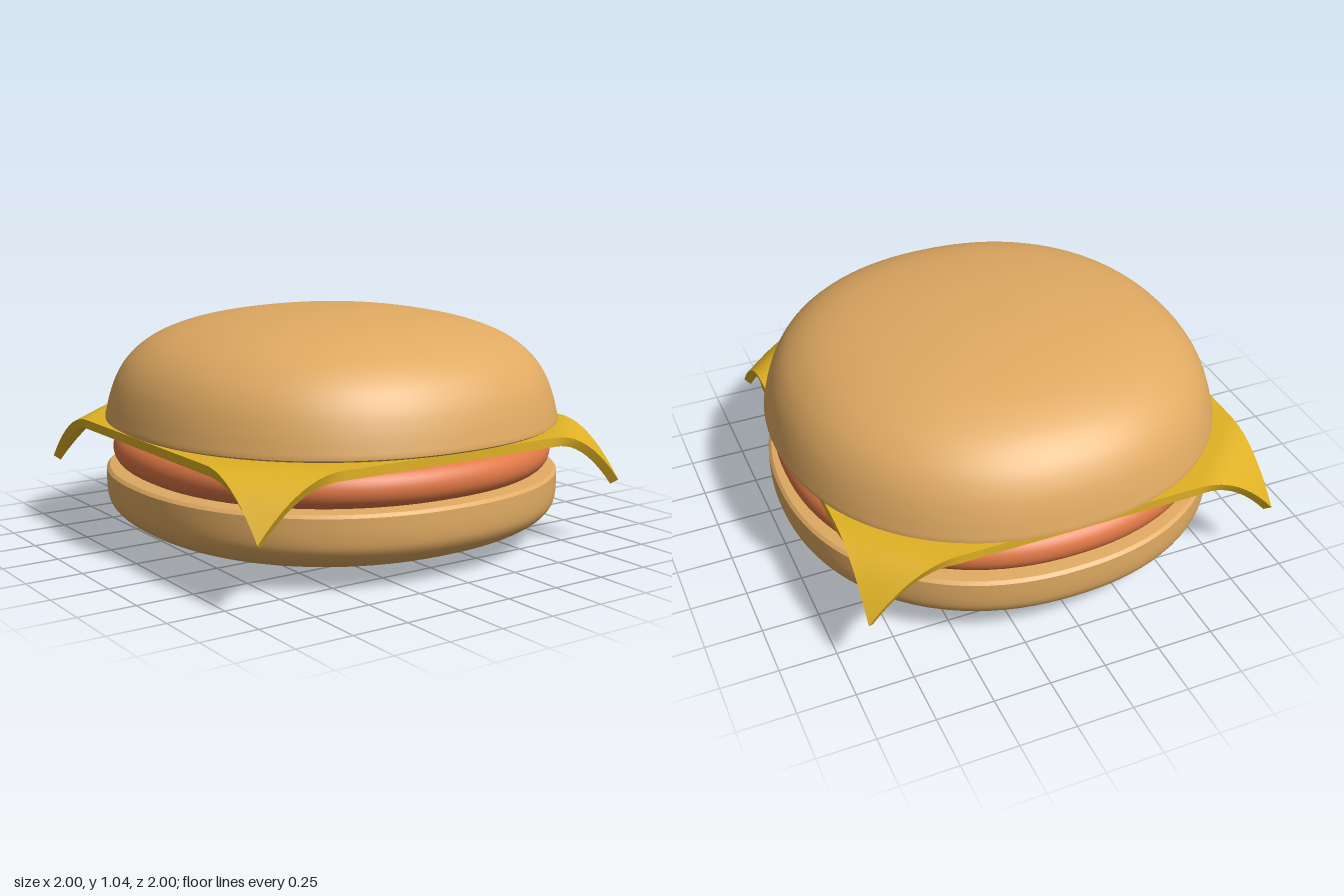
import * as THREE from 'three';
import { toCreasedNormals } from 'three/addons/utils/BufferGeometryUtils.js';

const BUN = 0xe0aa62, PATTY = 0xe07846, CHEESE = 0xdfb124;

function part(name, geometry, color) {
  const mesh = new THREE.Mesh(geometry, new THREE.MeshStandardMaterial({ color }));
  mesh.name = name;
  return mesh;
}

// Revolved profile (listed from bottom axis to top axis), rounded slightly towards a square in plan.
function softLathe(points, power = 2.18) {
  const geo = new THREE.LatheGeometry(points, 96);
  const pos = geo.attributes.position;
  for (let i = 0; i < pos.count; i++) {
    const x = pos.getX(i), z = pos.getZ(i), r = Math.hypot(x, z);
    if (r < 1e-6) continue;
    const k = Math.pow(Math.abs(x / r) ** power + Math.abs(z / r) ** power, -1 / power);
    pos.setX(i, x * k);
    pos.setZ(i, z * k);
  }
  return toCreasedNormals(geo, 0.6);
}

const v = ([x, y]) => new THREE.Vector2(x, y);
const smooth = (pts, n) => new THREE.SplineCurve(pts.map(v)).getPoints(n);

// Square slice with corners that bend down along the diagonals.
function cheeseSlice(size, thickness) {
  const geo = new THREE.BoxGeometry(size, thickness, size, 48, 1, 48);
  const pos = geo.attributes.position;
  const start = 1.05, tip = size / Math.SQRT2, drop = 0.235;
  for (let i = 0; i < pos.count; i++) {
    const x = pos.getX(i), y = pos.getY(i), z = pos.getZ(i);
    const s = (Math.abs(x) + Math.abs(z)) / Math.SQRT2;
    const t = Math.max(0, (s - start) / (tip - start));
    const angle = Math.atan(2 * drop * t / (tip - start));
    // the underside is offset along the bent surface's normal
    const depth = thickness / 2 - y;
    const inward = depth * Math.sin(angle) / Math.SQRT2;
    pos.setXYZ(i,
      x - Math.sign(x) * inward,
      -drop * t * t - depth * Math.cos(angle),
      z - Math.sign(z) * inward);
  }
  return toCreasedNormals(geo, 0.6);
}

export function createModel() {
  const group = new THREE.Group();
  group.name = 'cheeseburger';

  // Bottom bun: shallow bowl-like base, flat top
  group.add(part('bottomBun', softLathe([
    ...smooth([[0, 0.005], [0.25, 0.008], [0.5, 0.022], [0.7, 0.047], [0.85, 0.085],
      [0.94, 0.13], [0.985, 0.18], [0.998, 0.24], [0.998, 0.325]], 32),
    v([0.985, 0.338]), v([0.95, 0.342]), v([0, 0.342]),
  ]), BUN));

  // Patty: disc with a fully rounded rim
  const rim = [];
  for (let i = 0; i <= 16; i++) {
    const a = -Math.PI / 2 + Math.PI * i / 16;
    rim.push(v([0.885 + 0.082 * Math.cos(a), 0.419 + 0.081 * Math.sin(a)]));
  }
  group.add(part('patty', softLathe([v([0, 0.338]), ...rim, v([0, 0.5])]), PATTY));

  // Cheese: lies slightly off centre
  const cheese = part('cheeseSlice', cheeseSlice(1.87, 0.04), CHEESE);
  cheese.position.set(-0.025, 0.535, -0.005);
  group.add(cheese);

  // Top bun: domed, with a narrow rounded lip
  group.add(part('topBun', softLathe([
    v([0, 0.541]), v([0.93, 0.541]), v([0.985, 0.548]), v([0.998, 0.556]),
    ...smooth([[0.998, 0.566], [0.975, 0.66], [0.94, 0.75], [0.88, 0.835], [0.78, 0.912],
      [0.63, 0.973], [0.43, 1.015], [0.2, 1.04], [0, 1.045]], 40),
  ]), BUN));

  return group;
}
